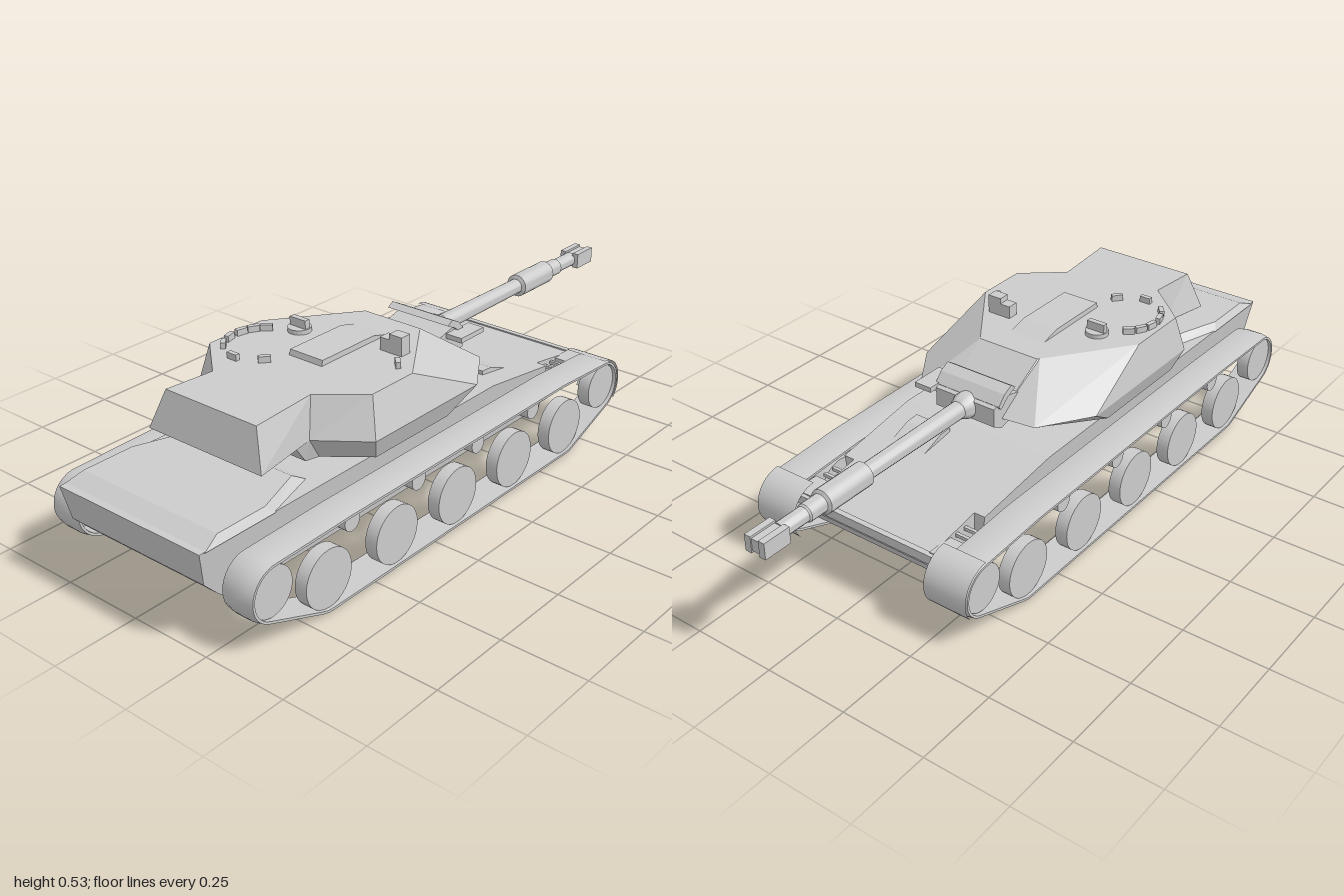
import * as THREE from 'three';
import { toCreasedNormals } from 'three/addons/utils/BufferGeometryUtils.js';

const mat = new THREE.MeshStandardMaterial({ color: 0xcccccc, flatShading: true });
const smooth = new THREE.MeshStandardMaterial({ color: 0xcccccc });
const thin = new THREE.MeshStandardMaterial({ color: 0xcccccc, side: THREE.DoubleSide });

// Stacks outlines of [x, z] points, each at its own height, and caps both ends
function stack(rings) {
  const pos = [], n = rings[0].pts.length;
  const put = (r, i) => pos.push(r.pts[i % n][0], r.y, r.pts[i % n][1]);
  for (let k = 0; k < rings.length - 1; k++) {
    const a = rings[k], b = rings[k + 1];
    for (let i = 0; i < n; i++) {
      put(a, i); put(b, i); put(a, i + 1);
      put(a, i + 1); put(b, i); put(b, i + 1);
    }
  }
  [[rings[0], false], [rings[rings.length - 1], true]].forEach(([r, up]) => {
    const v = r.pts.map(p => new THREE.Vector2(p[0], p[1]));
    for (const [i, j, k] of THREE.ShapeUtils.triangulateShape(v, [])) {
      const cross = v[j].clone().sub(v[i]).cross(v[k].clone().sub(v[i]));
      ((cross < 0) === up ? [i, j, k] : [i, k, j]).forEach(q => put(r, q));
    }
  });
  const g = new THREE.BufferGeometry();
  g.setAttribute('position', new THREE.Float32BufferAttribute(pos, 3));
  g.computeVertexNormals();
  return g;
}

// Side profile of [z, y] points drawn across x, half width given by height
function slab(profile, half) {
  const s = new THREE.Shape(profile.map(p => new THREE.Vector2(p[0], p[1])));
  const g = new THREE.ExtrudeGeometry(s, { depth: 2, bevelEnabled: false });
  g.translate(0, 0, -1).rotateY(-Math.PI / 2);
  const p = g.attributes.position;
  for (let i = 0; i < p.count; i++) p.setX(i, p.getX(i) * half(p.getY(i)));
  g.computeVertexNormals();
  return g;
}

// Closed track band: outline from arcs round the wheels, lofted with a crowned section
function trackBand() {
  const path = [];
  const arc = (z, y, r, from, to, n) => {
    for (let i = 0; i <= n; i++) {
      const a = THREE.MathUtils.degToRad(from + (to - from) * i / n);
      path.push([z + r * Math.cos(a), y + r * Math.sin(a), Math.cos(a), Math.sin(a)]);
    }
  };
  arc(0.865, 0.16, 0.085, 95, -70, 14);
  arc(0.67, 0.095, 0.095, -70, -90, 3);
  arc(-0.38, 0.095, 0.095, -90, -107, 3);
  arc(-0.575, 0.155, 0.083, -107, -266, 14);
  path.push([-0.35, 0.25, 0, 1], [0.6, 0.25, 0, 1]);
  const sec = [[-0.05, -0.012], [-0.05, -0.005], [-0.025, 0], [0.025, 0], [0.05, -0.005], [0.05, -0.012]];
  const pos = [], idx = [], m = sec.length, n = path.length;
  for (const [z, y, nz, ny] of path)
    for (const [x, d] of sec) pos.push(x, y + ny * d, z + nz * d);
  for (let i = 0; i < n; i++)
    for (let j = 0; j < m; j++) {
      const a = i * m + j, b = i * m + (j + 1) % m;
      const c = ((i + 1) % n) * m + j, d = ((i + 1) % n) * m + (j + 1) % m;
      idx.push(a, c, b, b, c, d);
    }
  const g = new THREE.BufferGeometry();
  g.setAttribute('position', new THREE.Float32BufferAttribute(pos, 3));
  g.setIndex(idx);
  return toCreasedNormals(g, 0.5);
}

export function createModel() {
  const root = new THREE.Group();
  root.name = 'tank';
  const group = name => {
    const g = new THREE.Group();
    g.name = name;
    root.add(g);
    return g;
  };
  const add = (parent, name, geo, m = mat) => {
    const o = new THREE.Mesh(geo, m);
    o.name = name;
    parent.add(o);
    return o;
  };
  // Box from its lowest and highest corners
  const box = (parent, name, x0, x1, y0, y1, z0, z1) => add(parent, name,
    new THREE.BoxGeometry(x1 - x0, y1 - y0, z1 - z0)
      .translate((x0 + x1) / 2, (y0 + y1) / 2, (z0 + z1) / 2));

  // Hull
  const hull = group('hull');
  add(hull, 'hullBody', slab([[1, 0.285], [-0.15, 0.285], [-0.43, 0.245], [-0.43, 0.1],
    [0.89, 0.1], [0.93, 0.135], [0.98, 0.187]], y => 0.225 + 0.135 * (y - 0.1)));
  add(hull, 'bow', slab([[-0.43, 0.245], [-0.61, 0.217], [-0.615, 0.185], [-0.6, 0.155],
    [-0.565, 0.125], [-0.5, 0.1], [-0.43, 0.1]], () => 0.21));
  box(hull, 'bowEdge', -0.25, 0.25, 0.195, 0.222, -0.622, -0.605);
  add(hull, 'driverHatch', slab([[-0.33, 0.255], [-0.2, 0.27], [-0.2, 0.29], [-0.24, 0.288]], () => 0.06))
    .position.x = 0.115;
  const mirror = pts => [...pts, ...pts.map(([x, z]) => [-x, z]).reverse()];
  add(hull, 'engineDeck', stack([
    { y: 0.283, pts: mirror([[0.2, 0.58], [0.252, 0.75], [0.252, 0.985]]) },
    { y: 0.305, pts: mirror([[0.185, 0.62], [0.238, 0.77], [0.238, 0.93]]) },
  ]));

  // Running gear
  const band = trackBand();
  const wheelZ = [0.67, 0.405, 0.145, -0.12, -0.38];
  const rollerZ = [0.575, 0.31, 0.05, -0.215];
  for (const side of [1, -1]) {
    const gear = group(side > 0 ? 'leftRunningGear' : 'rightRunningGear');
    add(gear, 'track', band, smooth).position.x = side * 0.31;
    const disc = (name, z, y, r, x0, x1) => {
      const g = new THREE.CylinderGeometry(r, r, x1 - x0, 32).rotateZ(Math.PI / 2);
      add(gear, name, toCreasedNormals(g, 0.6), smooth).position.set(side * (x0 + x1) / 2, y, z);
    };
    wheelZ.forEach(z => disc('roadWheel', z, 0.095, 0.084, 0.312, 0.35));
    rollerZ.forEach(z => disc('returnRoller', z, 0.213, 0.028, 0.312, 0.345));
    disc('idler', 0.87, 0.16, 0.07, 0.312, 0.35);
    disc('sprocket', -0.575, 0.155, 0.069, 0.312, 0.35);
    const guard = new THREE.CylinderGeometry(0.086, 0.086, 0.135, 16, 1, true, Math.PI / 2, 2.3).rotateZ(Math.PI / 2);
    add(gear, 'frontMudguard', guard, thin).position.set(side * 0.2925, 0.155, -0.575);
    box(gear, 'fenderTie', -0.027, 0.027, 0.205, 0.225, -0.61, -0.53).position.x = side * 0.233;
    for (const z of [-0.505, -0.47])
      box(gear, 'stepRung', -0.022, 0.022, 0.215, 0.225, z - 0.005, z + 0.005).position.x = side * 0.23;
  }

  // Turret: faceted shell with a notched rear overhang
  const turret = group('turret');
  add(turret, 'turretRing', new THREE.CylinderGeometry(0.235, 0.235, 0.03, 40).translate(0, 0.285, 0.195), smooth);
  const mid = [[-0.2, -0.15], [-0.09, -0.165], [0.09, -0.165], [0.2, -0.15], [0.3, 0], [0.3, 0.43],
    [0.165, 0.53], [0.2, 0.74], [-0.2, 0.74], [-0.165, 0.58], [-0.3, 0.47], [-0.3, 0]];
  const midUnder = mid.map(([x, z]) => z > 0.7 ? [x * 0.84, 0.585] : [x, z]);
  add(turret, 'turretShell', stack([
    { y: 0.295, pts: [[-0.16, -0.04], [-0.08, -0.045], [0.08, -0.045], [0.16, -0.04], [0.275, 0.1],
      [0.275, 0.4], [0.16, 0.49], [0.15, 0.53], [-0.15, 0.53], [-0.16, 0.52], [-0.275, 0.44], [-0.275, 0.1]] },
    { y: 0.36, pts: midUnder },
    { y: 0.36, pts: mid },
    { y: 0.472, pts: [[-0.104, 0.006], [-0.1, 0], [0.1, 0], [0.104, 0.006], [0.265, 0.24], [0.265, 0.4],
      [0.145, 0.5], [0.16, 0.71], [-0.16, 0.71], [-0.145, 0.56], [-0.28, 0.44], [-0.28, 0.24]] },
  ]));

  // Mantlet with its sloped shield
  add(turret, 'mantlet', slab([[-0.09, 0.41], [-0.15, 0.425], [-0.2, 0.405],
    [-0.2, 0.35], [-0.165, 0.33], [-0.09, 0.35]], () => 0.1));
  add(turret, 'mantletVisor', slab([[-0.115, 0.442], [-0.135, 0.455], [-0.165, 0.44], [-0.19, 0.412],
    [-0.18, 0.4], [-0.15, 0.425]], () => 0.11));
  box(turret, 'gunSight', 0.1, 0.155, 0.4, 0.415, -0.225, -0.12);

  // Gun barrel with fume extractor and slotted muzzle brake
  const gun = group('gun');
  gun.position.y = 0.383;
  const steps = [[0, 0.15], [0.038, 0.15], [0.038, 0.205], [0.03, 0.225], [0.026, 0.23], [0.023, 0.61],
    [0.035, 0.615], [0.035, 0.77], [0.026, 0.775], [0.026, 0.83], [0.022, 0.835], [0.022, 0.92], [0, 0.92]];
  const barrel = new THREE.LatheGeometry(steps.map(p => new THREE.Vector2(...p)), 24).rotateX(-Math.PI / 2);
  add(gun, 'barrel', toCreasedNormals(barrel, 0.6), smooth);
  box(gun, 'muzzleCore', -0.015, 0.015, -0.018, 0.018, -0.997, -0.91);
  for (const s of [1, -1])
    box(gun, 'muzzleCheek', -0.01, 0.01, -0.024, 0.024, -1, -0.915).position.x = s * 0.023;

  // Roof fittings
  const roof = group('roofFittings');
  add(roof, 'roofPlate', slab([[0.08, 0.47], [0.36, 0.47], [0.355, 0.488], [0.15, 0.488]], () => 0.058))
    .position.x = -0.002;
  box(roof, 'sightBase', 0.105, 0.18, 0.465, 0.51, 0.145, 0.18);
  box(roof, 'sightHead', 0.137, 0.18, 0.505, 0.527, 0.145, 0.18);
  add(roof, 'periscopeBase', new THREE.CylinderGeometry(0.034, 0.034, 0.014, 20).translate(-0.149, 0.478, 0.222));
  box(roof, 'periscopeHead', -0.178, -0.12, 0.465, 0.51, 0.213, 0.23);
  const small = (x, z, turn) => {
    const b = add(roof, 'periscope', new THREE.BoxGeometry(0.034, 0.02, 0.014));
    b.position.set(x, 0.48, z);
    b.rotation.y = turn;
  };
  small(0.208, 0.23, -0.8);
  // Vision blocks round the hatch
  for (const deg of [90, 40, 140, 165, 190, 210, 230]) {
    const a = THREE.MathUtils.degToRad(deg);
    small(-0.157 + 0.1 * Math.cos(a), 0.362 + 0.11 * Math.sin(a), Math.PI / 2 - a);
  }
  return root;
}
